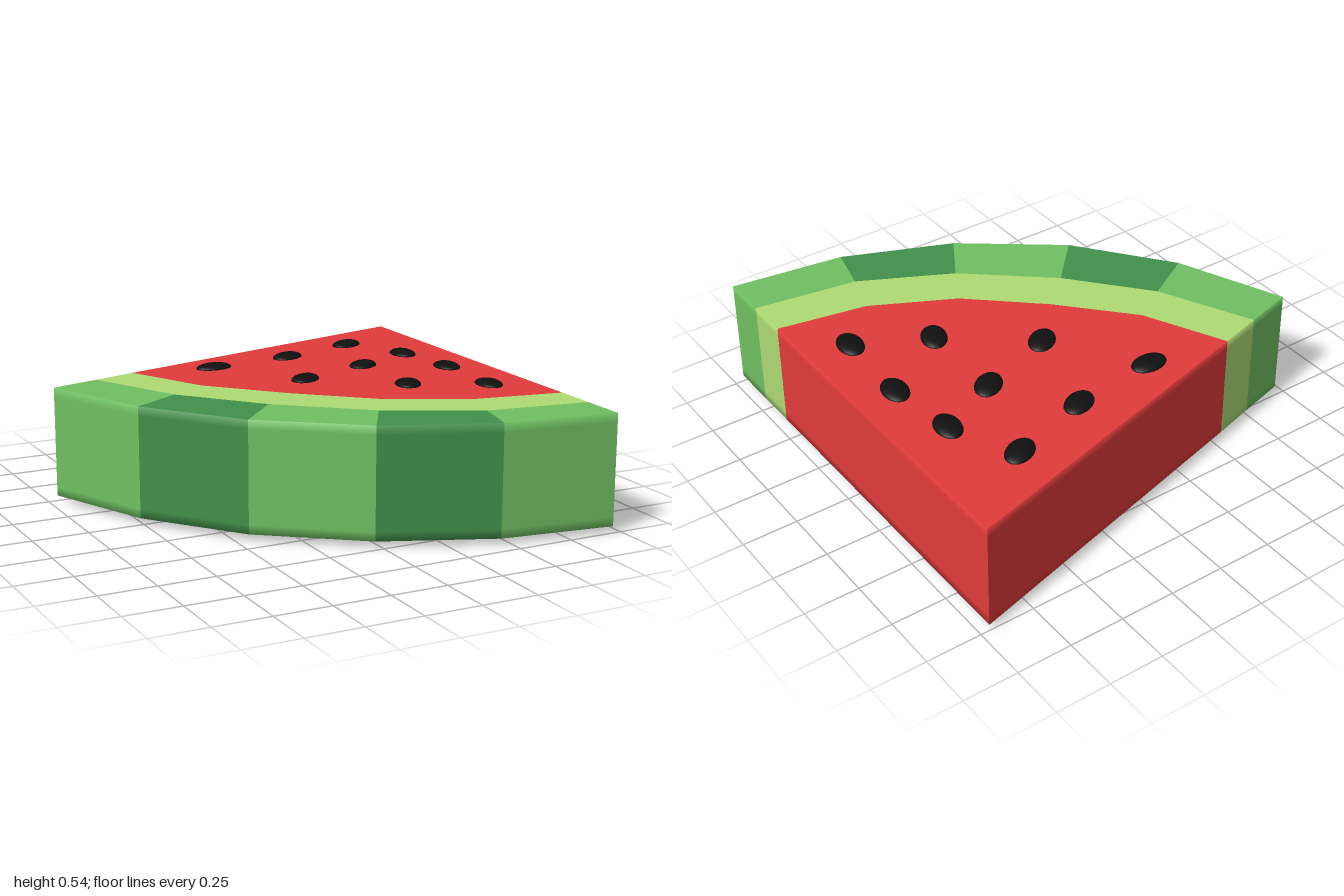
import * as THREE from 'three';

const Y0 = 0.03, Y1 = 0.52, SOFT = 0.04;

// Arcs in [x, z], running from the left cut to the right cut
const TIP = [0.96, -1];
const OUTER = [[-0.965, -0.48], [-0.765, 0], [-0.45, 0.41], [-0.03, 0.73], [0.45, 0.93], [0.96, 1]];
const MIDDLE = [[-0.745, -0.54], [-0.545, -0.125], [-0.26, 0.21], [0.1, 0.515], [0.5, 0.72], [0.96, 0.79]];
const INNER = [[-0.55, -0.595], [-0.375, -0.23], [-0.1, 0.07], [0.2, 0.34], [0.56, 0.525], [0.96, 0.598]];

// Seeds: x, z, turn in degrees
const SEEDS = [
  [-0.18, -0.525, 5], [0.22, -0.575, 30], [0.595, -0.692, 32],
  [0.738, -0.395, 80], [0.45, -0.26, 42], [0.088, -0.132, 42],
  [0.782, -0.068, 80], [0.448, 0.155, 65], [0.766, 0.315, 80],
];

function material(name, color) {
  const m = new THREE.MeshStandardMaterial({ color });
  m.name = name;
  return m;
}

// Slab over a polygon: top and bottom fans, plus walls on the exposed edges only.
// Wall normals lean outward near the rims for a soft edge.
function slab(points, walls) {
  const position = [], normal = [], index = [];
  const add = (p, y, n) => {
    position.push(p[0], y, p[1]);
    normal.push(n.x, n.y, n.z);
    return position.length / 3 - 1;
  };
  for (const side of [1, -1]) {
    const n = new THREE.Vector3(0, side, 0);
    const ids = points.map((p) => add(p, side > 0 ? Y1 : Y0, n));
    for (let i = 1; i < ids.length - 1; i++) {
      if (side > 0) index.push(ids[0], ids[i], ids[i + 1]);
      else index.push(ids[0], ids[i + 1], ids[i]);
    }
  }
  const rows = [[Y0, -0.7], [Y0 + SOFT, 0], [Y1 - SOFT, 0], [Y1, 0.7]];
  for (const w of walls) {
    const a = points[w], b = points[(w + 1) % points.length];
    const out = new THREE.Vector3(a[1] - b[1], 0, b[0] - a[0]).normalize();
    const ids = rows.map(([y, lean]) => {
      const n = out.clone().setY(lean).normalize();
      return [add(a, y, n), add(b, y, n)];
    });
    for (let r = 0; r < 3; r++) {
      const [a0, b0] = ids[r], [a1, b1] = ids[r + 1];
      index.push(a0, b0, b1, a0, b1, a1);
    }
  }
  const g = new THREE.BufferGeometry();
  g.setAttribute('position', new THREE.Float32BufferAttribute(position, 3));
  g.setAttribute('normal', new THREE.Float32BufferAttribute(normal, 3));
  g.setIndex(index);
  return g;
}

export function createModel() {
  const red = material('fleshRed', 0xe23b3b);
  const pale = material('paleRind', 0xaedb74);
  const light = material('lightGreen', 0x70c062);
  const dark = material('darkGreen', 0x43904a);
  const black = material('seedBlack', 0x101010);

  const model = new THREE.Group();
  model.name = 'watermelonSlice';
  const mesh = (name, geometry, mat, parent = model) => {
    const m = new THREE.Mesh(geometry, mat);
    m.name = name;
    parent.add(m);
    return m;
  };

  // Flesh wedge, walled on its two cut sides
  mesh('flesh', slab([TIP, ...INNER], [0, INNER.length]), red);

  // Pale inner rind and striped outer rind
  const ring = (name, outer, inner, mats, outerWall) => {
    const group = new THREE.Group();
    group.name = name;
    model.add(group);
    const last = outer.length - 2;
    for (let i = 0; i <= last; i++) {
      const walls = outerWall ? [0] : [];
      if (i === last) walls.push(1);
      if (i === 0) walls.push(3);
      const quad = [outer[i], outer[i + 1], inner[i + 1], inner[i]];
      mesh(name + 'Segment' + (i + 1), slab(quad, walls), mats[i % mats.length], group);
    }
  };
  ring('innerRind', MIDDLE, INNER, [pale], false);
  ring('outerRind', OUTER, MIDDLE, [light, dark], true);

  // Flat oval seeds on both faces
  const seeds = new THREE.Group();
  seeds.name = 'seeds';
  model.add(seeds);
  const seedShape = new THREE.SphereGeometry(1, 24, 12);
  for (const [x, z, turn] of SEEDS) {
    for (const [name, y, height] of [['topSeed', Y1, 0.022], ['bottomSeed', Y0, 0.03]]) {
      const s = mesh(name, seedShape, black, seeds);
      s.position.set(x, y, z);
      s.scale.set(0.086, height, 0.058);
      s.rotation.y = THREE.MathUtils.degToRad(turn);
    }
  }
  return model;
}
